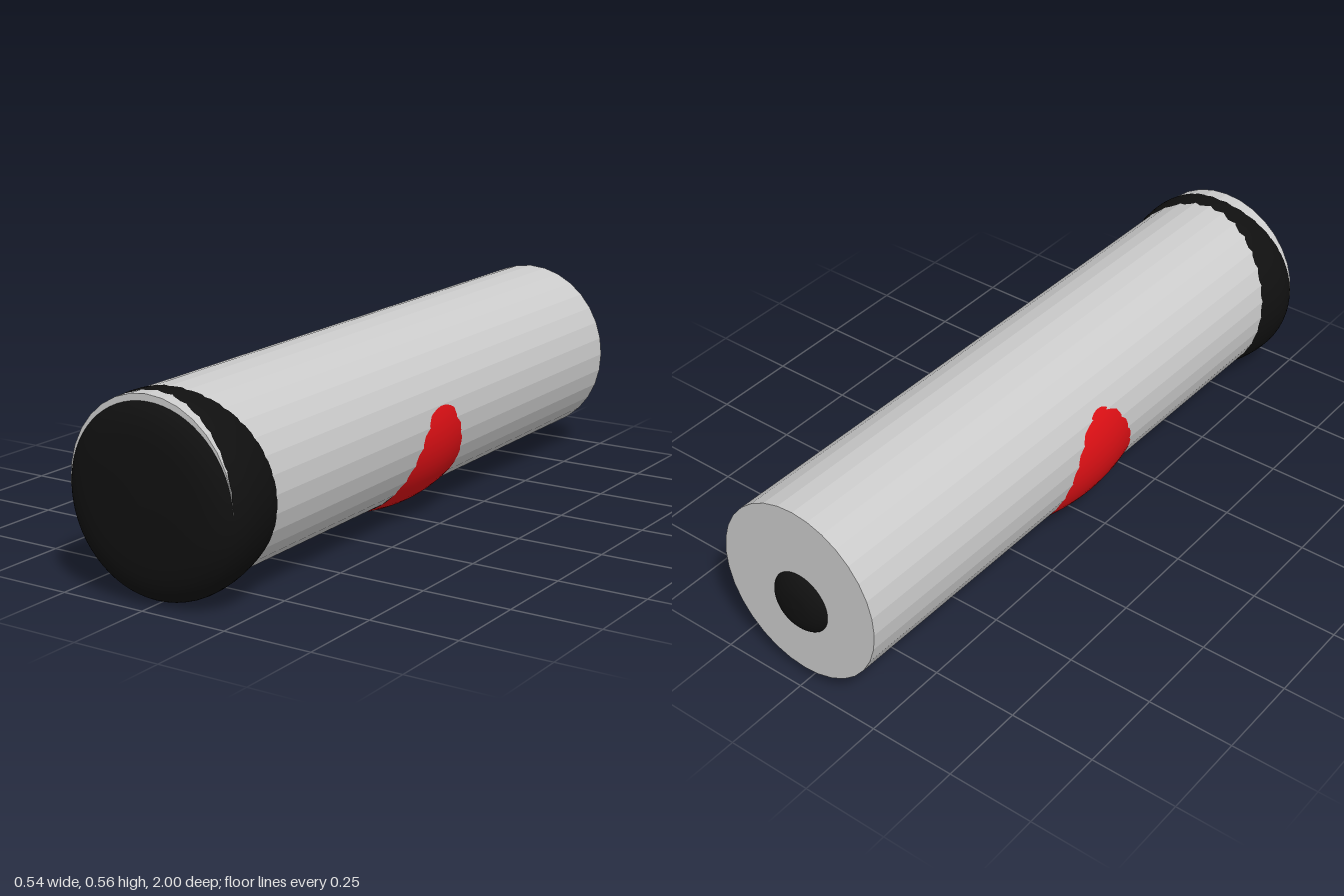
import * as THREE from 'three';

const grey = new THREE.MeshStandardMaterial({ color: 0xcccccc, flatShading: true });
const black = new THREE.MeshStandardMaterial({ color: 0x101010 });
const red = new THREE.MeshStandardMaterial({ color: 0xe01015 });

// Surface of revolution around the z axis; points are [radius, z], back to front
function turned(name, points, material, smooth = true) {
  let pts = points.map(([r, z]) => new THREE.Vector2(r, z));
  if (smooth) {
    pts = new THREE.SplineCurve(pts).getPoints(points.length * 5);
    pts.forEach((p) => { p.x = Math.max(p.x, 0); });
  }
  const geometry = new THREE.LatheGeometry(pts, 64);
  geometry.rotateX(Math.PI / 2);
  const mesh = new THREE.Mesh(geometry, material);
  mesh.name = name;
  mesh.position.y = 0.27;
  return mesh;
}

export function createModel() {
  const group = new THREE.Group();
  group.name = 'tubeModel';

  // Long faceted sleeve, slightly tilted against the inner core
  const front = new THREE.Vector3(-0.002, 0.278, 0.955);
  const back = new THREE.Vector3(0.0075, 0.299, -0.968);
  const axis = front.clone().sub(back);
  const sleeveGeometry = new THREE.CylinderGeometry(0.26, 0.26, axis.length(), 32);
  sleeveGeometry.scale(0.972, 1, 1);
  const sleeve = new THREE.Mesh(sleeveGeometry, grey);
  sleeve.name = 'sleeve';
  sleeve.position.copy(front).add(back).multiplyScalar(0.5);
  sleeve.quaternion.setFromUnitVectors(new THREE.Vector3(0, 1, 0), axis.normalize());
  group.add(sleeve);

  // Bulging front cap
  group.add(turned('frontCap', [
    [0.16, 0.55], [0.215, 0.67], [0.25, 0.775], [0.264, 0.83], [0.27, 0.885],
    [0.266, 0.925], [0.25, 0.957], [0.215, 0.982], [0.15, 0.995], [0, 1],
  ], black));

  // Swollen middle band and the dark collar in front of it
  const bulge = (z) => 0.26 - 0.72 * (z + 0.012) ** 2;
  const band = (a, b) => Array.from({ length: 25 }, (_, i) => {
    const z = a + ((b - a) * i) / 24;
    return [bulge(z), z];
  });
  group.add(turned('middleBand', band(-0.3, 0.13), red, false));
  group.add(turned('middleCollar', band(0.13, 0.25), black, false));

  // Rounded button on the back end
  group.add(turned('backButton', [
    [0, -1], [0.045, -0.996], [0.075, -0.984], [0.09, -0.968], [0.094, -0.94],
  ], black));

  return group;
}
